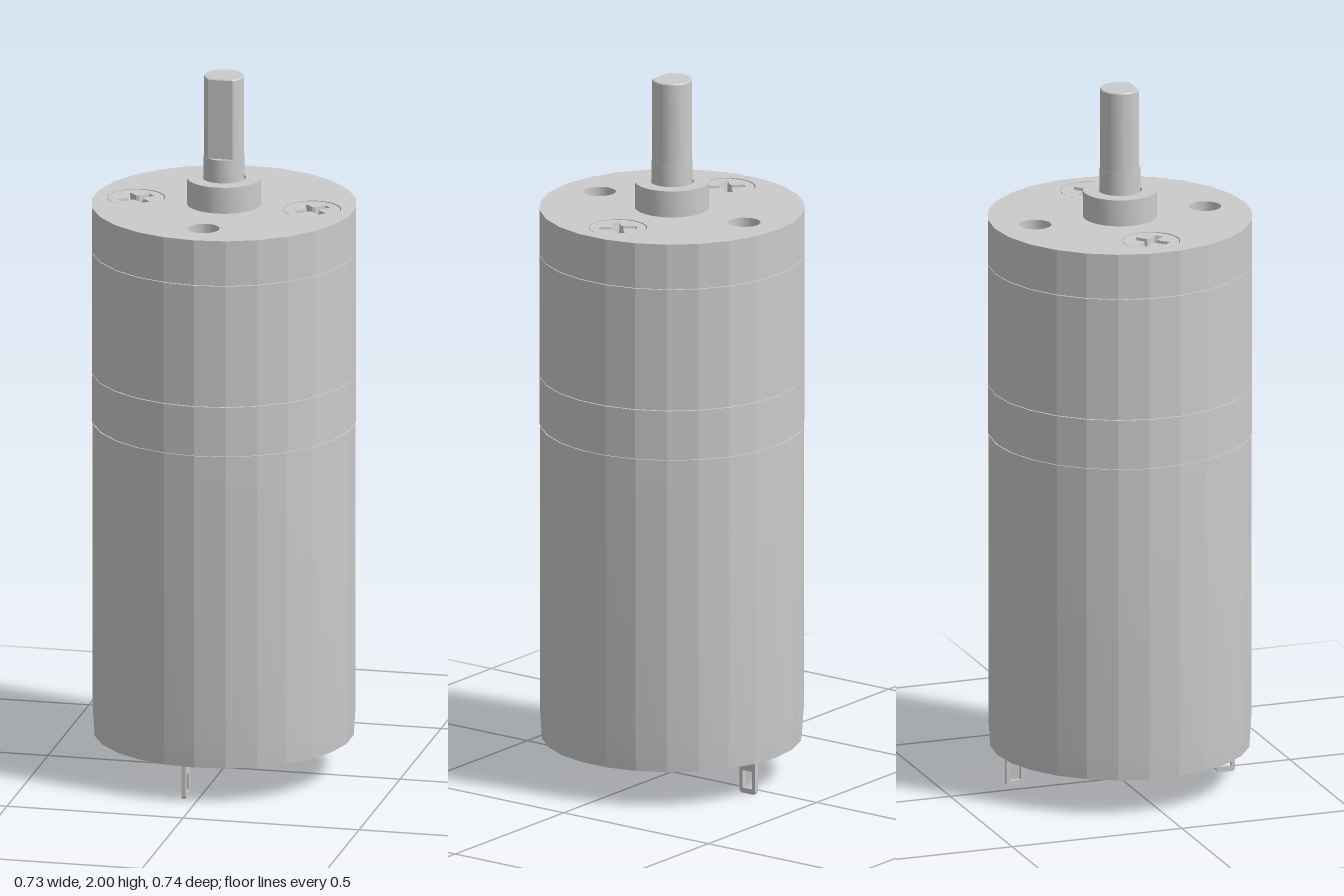
import * as THREE from 'three';
import { toCreasedNormals } from 'three/addons/utils/BufferGeometryUtils.js';

const SIDES = 26;
const R = 0.368;

export function createModel() {
  const model = new THREE.Group();
  model.name = 'gearMotor';

  const metal = new THREE.MeshStandardMaterial({ color: 0xcbcbcb });
  metal.name = 'brushed metal';

  const add = (name, geometry, parent = model, crease = 0.2) => {
    const mesh = new THREE.Mesh(toCreasedNormals(geometry, crease), metal);
    mesh.name = name;
    parent.add(mesh);
    return mesh;
  };
  // Turned part from [radius, height] pairs, listed bottom to top on the outside
  const turned = (name, profile, sides = 32) =>
    add(name, new THREE.LatheGeometry(profile.map(([r, y]) => new THREE.Vector2(r, y)), sides),
      model, sides === SIDES ? 0.1 : 0.3);
  // Flat outline extruded upward; shape y runs along -z
  const upright = (shape, depth, y, options = {}) =>
    new THREE.ExtrudeGeometry(shape, { depth, bevelEnabled: false, curveSegments: 24, ...options })
      .rotateX(-Math.PI / 2).translate(0, y, 0);
  const circle = (x, y, r, n = 32) => Array.from({ length: n }, (_, i) => {
    const a = Math.PI / 2 + (i / n) * Math.PI * 2;
    return new THREE.Vector2(x + r * Math.cos(a), y + r * Math.sin(a));
  });

  // Motor can with tapered bottom and rolled rim
  turned('motorCan', [[0.345, 0.13], [0.345, 0.105], [0.361, 0.105],
    [0.366, 0.18], [0.366, 1.006], [0, 1.006]], SIDES);

  // Gearbox sections with fine seams between them
  turned('gearboxCore', [[0.362, 1.0], [0.362, 1.5], [0, 1.5]], SIDES);
  [['gearboxBase', 1.012, 1.149], ['gearboxCase', 1.151, 1.499]].forEach(([name, y0, y1]) =>
    turned(name, [[0.35, y0], [R, y0], [R, y1], [0, y1]], SIDES));

  // Face plate with two mounting holes and two screw seats
  const plate = new THREE.Shape(circle(0, 0, R, SIDES));
  for (const s of [-1, 1]) {
    plate.holes.push(new THREE.Path(circle(0, s * 0.25, 0.045)));
    plate.holes.push(new THREE.Path(circle(s * 0.25, 0, 0.081)));
  }
  add('facePlate', upright(plate, 0.129, 1.501));

  // Cross-head screws: outline of the recess, then its sloping walls and pointed floor
  const cross = [];
  for (let i = 0; i < 4; i++) {
    const a = Math.PI / 4 + i * Math.PI / 2;
    for (const [u, v] of [[0.018, -0.012], [0.052, -0.012], [0.052, 0.012], [0.018, 0.012]]) {
      cross.push(new THREE.Vector2(u * Math.cos(a) - v * Math.sin(a), u * Math.sin(a) + v * Math.cos(a)));
    }
  }
  const recessPoints = [];
  cross.forEach((p, i) => {
    const q = cross[(i + 1) % cross.length];
    const top = (c) => [c.x, 0, -c.y];
    const low = (c) => [c.x * 0.7, -0.045, -c.y * 0.7];
    recessPoints.push(...top(p), ...top(q), ...low(p), ...top(q), ...low(q), ...low(p),
      ...low(p), ...low(q), 0, -0.06, 0);
  });
  const recess = new THREE.BufferGeometry();
  recess.setAttribute('position', new THREE.Float32BufferAttribute(recessPoints, 3));

  for (const s of [-1, 1]) {
    const screw = new THREE.Group();
    screw.name = s > 0 ? 'leftScrew' : 'rightScrew';
    screw.position.set(s * 0.25, 1.629, 0);
    const head = new THREE.Shape(circle(0, 0, 0.078));
    head.holes.push(new THREE.Path(cross));
    add('screwHead', upright(head, 0.06, -0.06), screw);
    add('screwRecess', recess, screw);
    model.add(screw);
  }

  // Output bearing collar
  turned('bearingCollar', [[0.103, 1.62], [0.103, 1.705], [0.061, 1.705], [0.061, 1.66], [0, 1.66]]);

  // Output shaft: round root, then a D section with its flat to the front
  turned('shaftRoot', [[0.057, 1.65], [0.057, 1.77], [0, 1.77]]);
  const dShape = new THREE.Shape();
  const cut = Math.asin(0.044 / 0.056);
  dShape.absarc(0, 0, 0.056, -cut, Math.PI + cut, false);
  dShape.closePath();
  add('outputShaft', upright(dShape, 0.244, 1.753, {
    bevelEnabled: true, bevelSize: 0.002, bevelThickness: 0.003, bevelOffset: -0.002, bevelSegments: 1,
  }), model, 0.35);

  // Recessed end cap with vent holes and pin holes
  const cap = new THREE.Shape(circle(0, 0, 0.346, SIDES));
  for (const sx of [-1, 1]) {
    cap.holes.push(new THREE.Path(circle(sx * 0.18, 0, 0.013, 12)));
    for (const sz of [-1, 1]) cap.holes.push(new THREE.Path(circle(sx * 0.13, sz * 0.28, 0.026, 20)));
  }
  add('endCap', upright(cap, 0.02, 0.118));
  turned('endCapBacking', [[0, 0.135], [0.346, 0.135]], SIDES);

  // Rear bearing boss
  turned('rearBoss', [[0, 0.07], [0.03, 0.07], [0.03, 0.057], [0.076, 0.057], [0.083, 0.062],
    [0.087, 0.072], [0.087, 0.125]]);

  // Solder terminals: eyelet tab and bent foot, one turned half round from the other
  const tab = new THREE.Shape([[-0.027, 0.12], [-0.027, 0.006], [-0.021, 0], [0.021, 0],
    [0.027, 0.006], [0.027, 0.12]].map(([x, y]) => new THREE.Vector2(x, y)));
  tab.holes.push(new THREE.Path([[-0.016, 0.015], [0.016, 0.015], [0.016, 0.065], [-0.016, 0.065]]
    .map(([x, y]) => new THREE.Vector2(x, y))));
  for (const turn of [0, Math.PI]) {
    const terminal = new THREE.Group();
    terminal.name = turn ? 'backTerminal' : 'frontTerminal';
    terminal.rotation.y = turn;
    add('terminalTab', new THREE.ExtrudeGeometry(tab, { depth: 0.012, bevelEnabled: false })
      .rotateY(Math.PI / 2).translate(-0.046, 0, 0.295), terminal);
    add('terminalFoot', new THREE.BoxGeometry(0.09, 0.012, 0.054).translate(0.005, 0.114, 0.295), terminal);
    add('terminalFootEnd', new THREE.CylinderGeometry(0.027, 0.027, 0.012, 20).translate(0.05, 0.114, 0.295),
      terminal, 0.4);
    model.add(terminal);
  }

  return model;
}
